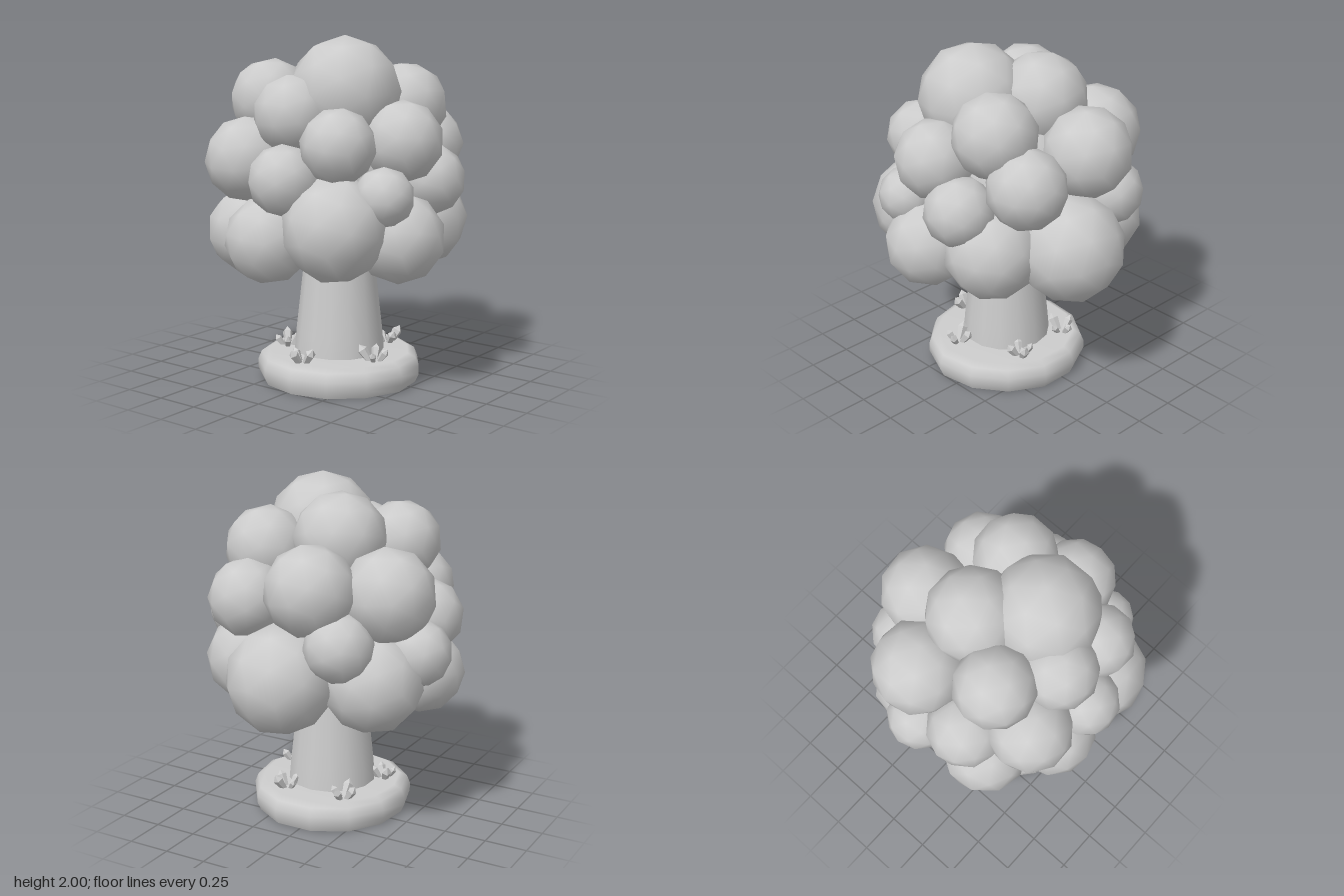
import * as THREE from 'three';

const stone = new THREE.MeshStandardMaterial({ color: 0xcccccc });
stone.name = 'pale grey';

// Leaf clumps: x, y, z, radius
const clumps = [
  // crown
  [0.165, 1.685, 0.18, 0.31], [-0.1, 1.68, -0.09, 0.265], [0.33, 1.6, -0.17, 0.24],
  [-0.31, 1.63, 0.25, 0.23], [0, 1.57, 0.43, 0.22],
  // upper ring
  [-0.11, 1.46, -0.44, 0.255], [0.315, 1.36, -0.4, 0.225], [0.51, 1.43, 0.12, 0.225],
  [0.32, 1.42, 0.45, 0.205], [-0.285, 1.31, 0.485, 0.24], [-0.45, 1.42, -0.18, 0.265],
  // middle ring
  [0.06, 1.23, 0.59, 0.195], [-0.495, 1.22, 0.2, 0.22], [0.54, 1.2, -0.11, 0.2],
  [0.54, 1.15, 0.335, 0.165], [-0.585, 1.085, -0.07, 0.19], [-0.29, 1.17, -0.45, 0.195],
  // lower ring
  [-0.44, 0.86, 0.29, 0.25], [-0.11, 0.875, 0.52, 0.245], [0.32, 0.975, 0.475, 0.29],
  [0.53, 0.905, 0.17, 0.25], [0.405, 0.95, -0.22, 0.27], [0.055, 0.945, -0.48, 0.31],
  [-0.39, 0.93, -0.24, 0.285],
];

// Crystal clusters on the base: x, z
const clusters = [[-0.18, -0.2], [-0.25, 0.19], [0.04, 0.41], [0.35, 0.15], [0.18, -0.22]];

function part(name, geometry, parent) {
  const mesh = new THREE.Mesh(geometry, stone);
  mesh.name = name;
  parent.add(mesh);
  return mesh;
}

const lathe = (points, sides) =>
  new THREE.LatheGeometry(points.map(([r, y]) => new THREE.Vector2(r, y)), sides);

export function createModel() {
  const tree = new THREE.Group();
  tree.name = 'tree';

  // Rounded stone base; the doubled point keeps the lower rim sharp
  const baseGeometry = lathe([
    [0, 0.005], [0.455, 0.005], [0.455, 0.005], [0.475, 0.05], [0.475, 0.1],
    [0.455, 0.15], [0.41, 0.172], [0, 0.172],
  ], 13);
  // Uneven outline
  const p = baseGeometry.attributes.position;
  for (let i = 0; i < p.count; i++) {
    const a = Math.atan2(p.getZ(i), p.getX(i));
    const k = 1 + 0.01 * Math.sin(3 * a + 1) + 0.008 * Math.cos(5 * a);
    p.setXYZ(i, p.getX(i) * k, p.getY(i), p.getZ(i) * k);
  }
  part('base', baseGeometry, tree).position.set(0.04, 0, 0.06);

  // Tapering trunk
  part('trunk', lathe([[0.262, 0.165], [0.25, 0.3], [0.207, 0.68], [0.18, 0.95]], 14), tree)
    .position.set(0.035, 0, 0.06);

  // Foliage around a hidden core
  const foliage = new THREE.Group();
  foliage.name = 'foliage';
  tree.add(foliage);
  const ball = new THREE.IcosahedronGeometry(1, 1);
  const core = part('foliageCore', ball, foliage);
  core.position.set(0.02, 1.22, 0.03);
  core.scale.setScalar(0.46);
  clumps.forEach(([x, y, z, r], i) => {
    const clump = part('leafClump', ball, foliage);
    clump.position.set(x, y, z);
    clump.scale.setScalar(r * 1.02);
    clump.rotation.set(i * 1.3, i * 2.1, i * 0.7);
  });

  // Small faceted crystals leaning outward from each cluster
  const crystal = lathe([[0, 0], [0.017, 0], [0.027, 0.07], [0, 0.1]], 5).toNonIndexed();
  crystal.computeVertexNormals();
  clusters.forEach(([x, z], c) => {
    const cluster = new THREE.Group();
    cluster.name = 'crystalCluster';
    cluster.position.set(x, 0.165, z);
    tree.add(cluster);
    for (let i = 0; i < 4; i++) {
      const a = c * 0.9 + i * Math.PI * 0.5;
      const shard = part('crystal', crystal, cluster);
      shard.position.set(Math.cos(a) * 0.025, 0, Math.sin(a) * 0.025);
      shard.rotation.set(Math.sin(a) * 0.6, 0, -Math.cos(a) * 0.6);
      shard.scale.setScalar(0.8 + 0.11 * ((i * 3 + c) % 4));
    }
  });

  return tree;
}
